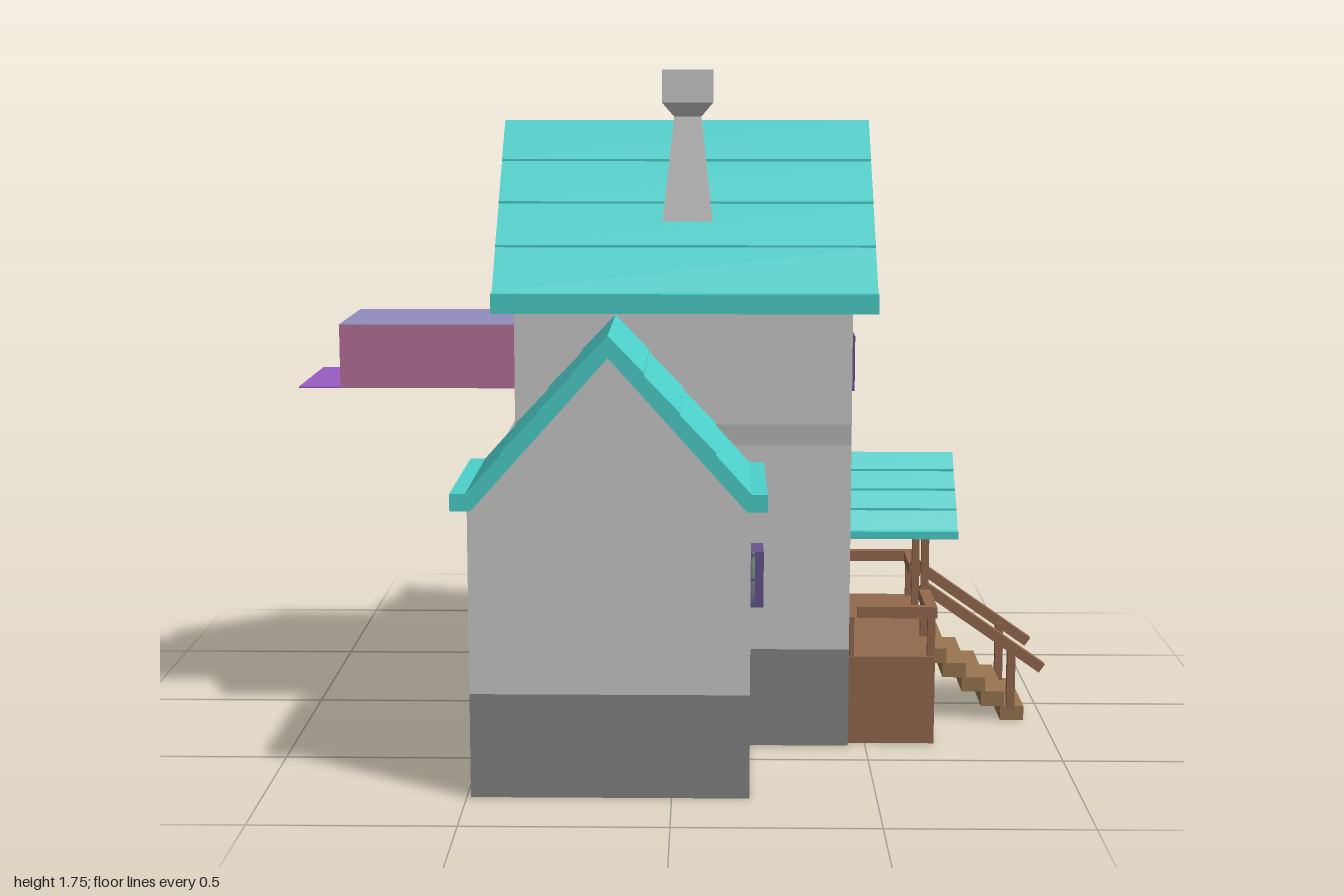
import * as THREE from 'three';

const mat = (color) => new THREE.MeshStandardMaterial({ color, side: THREE.DoubleSide, flatShading: true });

export function createModel() {
  const model = new THREE.Group();
  const M = {
    wall: mat(0xcccccc), band: mat(0xb8b8b8), base: mat(0x858585), teal: mat(0x4cd0cb),
    wood: mat(0x93694f), plank: mat(0x9a7650), frame: mat(0x66558c), pane: mat(0x86ab8e),
    door: mat(0xb83232), blue: mat(0x6f9cbc), pink: mat(0xb8729a), lilac: mat(0x928cbc), purple: mat(0x9a5cc4),
    knob: mat(0x3a2a2a),
  };
  const MID = 0.017; // z of the house centreline

  function add(name, geo, material, parent = model) {
    const mesh = new THREE.Mesh(geo, material);
    mesh.name = name;
    parent.add(mesh);
    return mesh;
  }
  function box(name, material, x0, x1, y0, y1, z0, z1) {
    const mesh = add(name, new THREE.BoxGeometry(x1 - x0, y1 - y0, z1 - z0), material);
    mesh.position.set((x0 + x1) / 2, (y0 + y1) / 2, (z0 + z1) / 2);
    return mesh;
  }
  // Upright wall panels along a plan path of [x, z] points
  function wallRun(name, material, path, y0, y1) {
    for (let i = 0; i + 1 < path.length; i++) {
      const [ax, az] = path[i], [bx, bz] = path[i + 1];
      const panel = add(name, new THREE.PlaneGeometry(Math.hypot(bx - ax, bz - az), y1 - y0), material);
      panel.position.set((ax + bx) / 2, (y0 + y1) / 2, (az + bz) / 2);
      panel.rotation.y = -Math.atan2(bz - az, bx - ax);
    }
  }
  const polygon = (pts) => new THREE.Shape(pts.map(([u, v]) => new THREE.Vector2(u, v)));
  // Flat panel facing x, outline given as [z, y], optional rectangular hole
  function sidePanel(name, material, x, pts, hole) {
    const shape = polygon(pts.map(([z, y]) => [-z, y]));
    if (hole) {
      const [z0, z1, y0, y1] = hole;
      shape.holes.push(polygon([[-z0, y0], [-z0, y1], [-z1, y1], [-z1, y0]]));
    }
    const mesh = add(name, new THREE.ShapeGeometry(shape), material);
    mesh.rotation.y = Math.PI / 2;
    mesh.position.x = x;
  }
  // Lapped-board roof: half profile extruded along its ridge, second half turned round
  function roof(name, { ridge, flatU, flatY, tipU, tipY, inner, underU, boards }, length, halves = 2) {
    const group = new THREE.Group();
    group.name = name;
    const pts = [[0, ridge]];
    for (let i = 1; i <= boards; i++) {
      const u = flatU * i / boards, v = ridge + (flatY - ridge) * i / boards;
      if (i < boards) pts.push([u, v + 0.006]);
      pts.push([u, v]);
    }
    pts.push([tipU, flatY], [tipU, tipY], [underU, tipY], [0, inner]);
    const geo = new THREE.ExtrudeGeometry(polygon(pts), { depth: length, bevelEnabled: false });
    geo.translate(0, 0, -length / 2);
    for (let h = 0; h < halves; h++) add(name + 'Slope', geo, M.teal, group).rotation.y = h * Math.PI;
    model.add(group);
    return group;
  }

  // Main house walls
  const X0 = -0.41, X1 = 0.455, Z0 = -0.35, Z1 = 0.383;
  const plan = [[X0, Z0], [X1, Z0], [X1, Z1], [X0, Z1], [X0, Z0]];
  wallRun('mainBase', M.base, plan, 0, 0.26);
  wallRun('mainWall', M.wall, plan, 0.26, 0.8);
  wallRun('mainBand', M.band, plan, 0.8, 0.855);
  wallRun('upperWall', M.wall, plan.slice(0, 2), 0.855, 1.18);
  wallRun('upperWall', M.wall, plan.slice(2, 4), 0.855, 1.18);
  const opening = [-0.022, 0.055, 0.932, 1.055];
  for (const x of [X0, X1]) {
    sidePanel('gableWall', M.wall, x,
      [[Z0, 0.855], [Z1, 0.855], [Z1, 1.18], [MID, 1.58], [Z0, 1.18]], opening);
    // Gable beams
    const a = x > 0 ? x : x - 0.015, b = a + 0.015;
    box('gableBeam', M.wall, a, b, 1.145, 1.17, Z0, Z1);
    box('gableBeam', M.wall, a, b, 1.318, 1.342, MID - 0.23, MID + 0.23);
    box('gablePost', M.wall, a, b, 1.17, 1.318, MID - 0.01, MID + 0.01);
    for (const s of [-1, 1]) {
      const rake = add('gableRake', new THREE.BoxGeometry(0.015, 0.03, 0.53), M.wall);
      rake.position.set((a + b) / 2, 1.362, MID + s * 0.182);
      rake.rotation.x = s * Math.atan2(0.375, 0.36);
    }
  }

  // Cross wing: one wall run round three sides, open over the far slope
  const wing = [[0.19, Z1], [0.19, 0.797], [-0.49, 0.797], [-0.49, -0.757], [0.19, -0.757], [0.19, Z0]];
  wallRun('wingBase', M.base, wing, 0, 0.26);
  wallRun('wingWall', M.wall, wing, 0.26, 0.72);
  for (const z of [0.797, -0.757]) {
    add('wingGable', new THREE.ShapeGeometry(polygon([[-0.49, 0.72], [0.19, 0.72], [-0.15, 1.105]])), M.wall).position.z = z;
  }

  // Roofs
  const mainRoof = roof('mainRoof', { ridge: 1.62, flatU: 0.42, flatY: 1.2, tipU: 0.457, tipY: 1.15, inner: 1.565, underU: 0.4, boards: 4 }, 0.975);
  mainRoof.position.set(0.027, 0, MID);
  mainRoof.rotation.y = Math.PI / 2;
  const wingProfile = { ridge: 1.138, flatU: 0.342, flatY: 0.757, tipU: 0.38, tipY: 0.715, inner: 1.085, underU: 0.33, boards: 4 };
  roof('frontWingRoof', wingProfile, 0.46).position.set(-0.15, 0, 0.58);
  roof('backWingRoof', wingProfile, 0.46, 1).position.set(-0.15, 0, -0.58);
  const porchRoof = roof('porchRoof', { ridge: 0.718, flatU: 0.167, flatY: 0.535, tipU: 0.186, tipY: 0.515, inner: 0.69, underU: 0.155, boards: 4 }, 0.3);
  porchRoof.position.set(0.605, 0, MID + 0.003);
  porchRoof.rotation.y = Math.PI / 2;

  // Chimney: tapered square shaft with a hollow flared cap
  const flue = [[0.066, 1.355], [0.035, 1.635], [0.066, 1.672], [0.066, 1.755], [0.045, 1.755], [0.045, 1.672], [0.03, 1.63]];
  const chimney = add('chimney', new THREE.LatheGeometry(
    flue.map(([r, y]) => new THREE.Vector2(r * Math.SQRT2, y)), 4, Math.PI / 4), M.wall);
  chimney.position.set(0.032, 0, 0.208);

  // Windows: frame bars round a pane, crossed by glazing bars
  function window4(x, depth, y0, y1, zc, half, glazed = true) {
    const t = 0.013, X = x + depth;
    for (const s of [-1, 1]) {
      const e = zc + s * (half - t / 2);
      box('windowFrame', M.frame, x, X, y0, y1, e - t / 2, e + t / 2);
    }
    box('windowFrame', M.frame, x, X, y0, y0 + t, zc - half, zc + half);
    box('windowFrame', M.frame, x, X, y1 - t, y1, zc - half, zc + half);
    if (!glazed) return;
    box('windowPane', M.pane, x, x + depth * 0.4, y0, y1, zc - half, zc + half);
    box('glazingBar', M.frame, x, x + depth * 0.8, y0, y1, zc - 0.003, zc + 0.003);
    const ym = (y0 + y1) / 2;
    box('glazingBar', M.frame, x, x + depth * 0.8, ym - 0.003, ym + 0.003, zc - half, zc + half);
  }
  window4(X1, 0.016, 0.92, 1.065, MID + 0.17, 0.051);
  window4(X1, 0.016, 0.92, 1.065, MID, 0.051, false);
  window4(X1, 0.016, 0.92, 1.065, MID - 0.18, 0.051);
  window4(0.19, 0.036, 0.43, 0.572, 0.558, 0.051);
  window4(0.19, 0.036, 0.43, 0.572, -0.545, 0.051);
  const round = add('roundWindow', new THREE.CylinderGeometry(0.033, 0.033, 0.012, 20), M.blue);
  round.rotation.z = Math.PI / 2;
  round.position.set(X1 + 0.006, 1.422, MID);
  const rim = add('roundWindowRim', new THREE.TorusGeometry(0.035, 0.005, 6, 24), M.frame);
  rim.rotation.y = Math.PI / 2;
  rim.position.set(X1 + 0.01, 1.422, MID);

  // Rear tunnel with open middle and landing plate
  const T0 = -0.89, T1 = 0.44, tz0 = -0.16, tz1 = 0.2;
  wallRun('tunnelSide', M.pink, [[T0, tz0], [T1, tz0]], 0.92, 1.088);
  wallRun('tunnelSide', M.pink, [[T0, tz1], [T1, tz1]], 0.92, 1.088);
  box('tunnelTop', M.lilac, T0, T1, 1.084, 1.089, tz0, tz1);
  box('tunnelFloor', M.pink, T0, T1, 0.919, 0.923, tz0, tz1);
  sidePanel('tunnelEnd', M.pink, T0, [[tz0, 0.92], [tz1, 0.92], [tz1, 1.088], [tz0, 1.088]], [-0.035, 0.069, 0.926, 1.062]);
  box('landingPlate', M.purple, -1, T0, 0.919, 0.923, tz0, tz1);

  // Porch deck, door and stairs
  box('porchDeck', M.wood, 0.44, 0.682, 0, 0.235, -0.312, 0.36);
  box('door', M.door, X1, 0.465, 0.235, 0.422, -0.04, 0.065);
  box('doorHandle', M.knob, 0.465, 0.472, 0.32, 0.335, 0.042, 0.05);
  for (let i = 0; i < 5; i++) {
    const x = 0.68 + i * 0.053, y = 0.2 - i * 0.04;
    box('stair', M.plank, x - 0.008, x + 0.055, y - 0.04, y, -0.112, 0.155);
  }

  // Railings and posts, mirrored about the porch centre
  const PC = 0.0215;
  for (const s of [-1, 1]) {
    const inner = PC + s * 0.13, outer = PC + s * 0.325;
    box('roofPost', M.wood, 0.662, 0.682, 0.235, 0.56, inner - 0.01, inner + 0.01);
    box('cornerPost', M.wood, 0.662, 0.682, 0.235, 0.34, outer - 0.009, outer + 0.009);
    box('wallPost', M.wood, 0.458, 0.47, 0.235, 0.34, outer - 0.009, outer + 0.009);
    box('sideRail', M.wood, 0.478, 0.684, 0.338, 0.368, outer - 0.012, outer + 0.012);
    box('frontRail', M.wood, 0.656, 0.686, 0.338, 0.368, Math.min(inner, outer + s * 0.012), Math.max(inner, outer + s * 0.012));
    const rail = add('stairRail', new THREE.BoxGeometry(0.4, 0.028, 0.024), M.wood);
    rail.position.set(0.828, 0.264, PC + s * 0.135);
    rail.rotation.z = -Math.atan2(0.22, 0.315);
    box('stairPost', M.wood, 0.9, 0.922, 0.03, 0.205, PC + s * 0.126 - 0.01, PC + s * 0.126 + 0.01);
  }
  return model;
}
